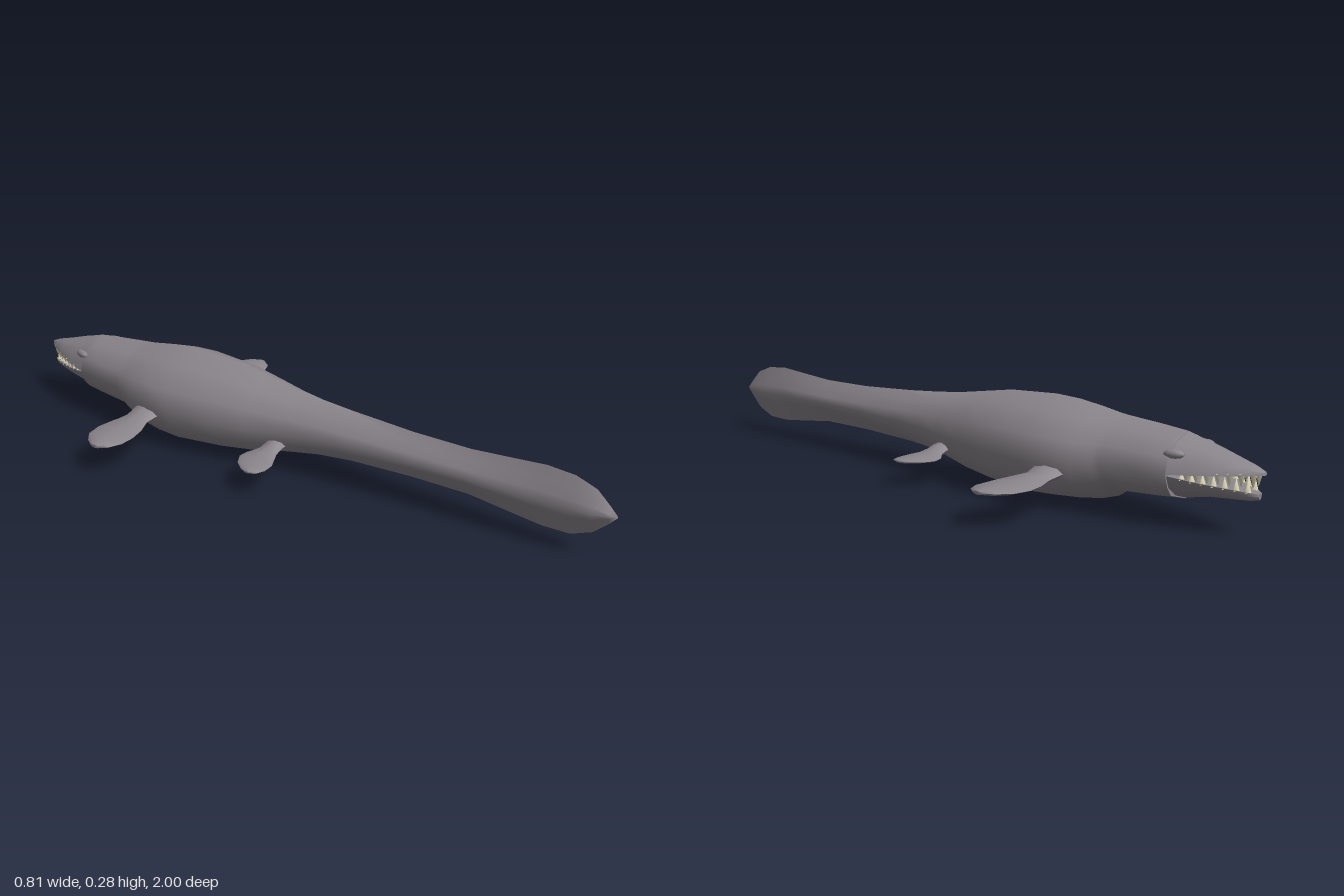
import * as THREE from 'three';
import { toCreasedNormals } from 'three/addons/utils/BufferGeometryUtils.js';

// Skin a list of closed rings (arrays of [x, y, z]) and cap both ends
function loft(rings, crease = 1.0) {
  const n = rings[0].length, pos = rings.flat(2), index = [];
  for (let r = 0; r < rings.length - 1; r++) {
    for (let i = 0; i < n; i++) {
      const j = (i + 1) % n, a = r * n + i, b = r * n + j;
      index.push(a, b, a + n, b, b + n, a + n);
    }
  }
  for (const end of [0, rings.length - 1]) {
    const c = pos.length / 3;
    pos.push(...[0, 1, 2].map((k) => rings[end].reduce((s, p) => s + p[k], 0) / n));
    for (let i = 0; i < n; i++) {
      const a = end * n + i, b = end * n + (i + 1) % n;
      if (end === 0) index.push(b, a, c); else index.push(a, b, c);
    }
  }
  // Turn the faces outward if the signed volume is negative
  let volume = 0;
  const v = (i) => new THREE.Vector3(...pos.slice(i * 3, i * 3 + 3));
  for (let t = 0; t < index.length; t += 3) {
    volume += v(index[t]).dot(v(index[t + 1]).cross(v(index[t + 2])));
  }
  if (volume < 0) index.reverse();
  const g = new THREE.BufferGeometry();
  g.setAttribute('position', new THREE.Float32BufferAttribute(pos, 3));
  g.setIndex(index);
  return toCreasedNormals(g, crease);
}

// Right-hand half outlines, top to bottom: full trunk and thin tail blade
const ROUND = [[0, 1], [0.48, 0.78], [0.9, 0.39], [1, -0.12], [0.88, -0.5], [0.7, -0.77], [0, -1]];
const BLADE = [[0, 1], [0.38, 0.64], [0.78, 0.28], [1, 0], [0.78, -0.28], [0.38, -0.64], [0, -1]];
const JAW = [[0, 1], [0.5, 0.8], [0.86, 0.45], [1, 0]];

// z, half width, bottom, top, blade amount
const BODY = [
  [-0.78, 0.1, 0.067, 0.243, 0], [-0.7, 0.111, 0.06, 0.251, 0], [-0.6, 0.125, 0.054, 0.259, 0],
  [-0.575, 0.132, 0.037, 0.262, 0], [-0.52, 0.153, 0.02, 0.272, 0], [-0.44, 0.166, 0.008, 0.283, 0],
  [-0.36, 0.167, 0.003, 0.287, 0], [-0.2, 0.145, 0.014, 0.279, 0], [-0.1, 0.12, 0.026, 0.263, 0],
  [0, 0.096, 0.045, 0.247, 0.1], [0.1, 0.08, 0.06, 0.237, 0.3], [0.2, 0.068, 0.07, 0.229, 0.5],
  [0.4, 0.051, 0.079, 0.218, 0.8], [0.58, 0.043, 0.08, 0.217, 1], [0.7, 0.038, 0.066, 0.226, 1],
  [0.8, 0.033, 0.055, 0.234, 1], [0.88, 0.03, 0.057, 0.228, 1], [0.94, 0.026, 0.082, 0.206, 1],
  [0.98, 0.012, 0.12, 0.168, 1], [1, 0.002, 0.142, 0.147, 1],
];

function bodyRing([z, w, lo, hi, k]) {
  const mid = (lo + hi) / 2, h = (hi - lo) / 2;
  const half = ROUND.map(([x, y], i) => [
    w * THREE.MathUtils.lerp(x, BLADE[i][0], k),
    mid + h * THREE.MathUtils.lerp(y, BLADE[i][1], k), z]);
  return [...half, ...half.slice(1, -1).reverse().map(([x, y, zz]) => [-x, y, zz])];
}

// z, half width, lip height, outer height
const UPPER = [[-0.77, 0.101, 0.146, 0.244], [-0.85, 0.081, 0.152, 0.222], [-0.92, 0.053, 0.158, 0.2],
  [-0.97, 0.027, 0.162, 0.186], [-1, 0.006, 0.164, 0.174]];
const LOWER = [[-0.77, 0.099, 0.144, 0.067], [-0.85, 0.077, 0.134, 0.084], [-0.92, 0.049, 0.126, 0.09],
  [-0.965, 0.026, 0.12, 0.094], [-0.988, 0.008, 0.116, 0.1]];

function jawRing([z, w, lip, outer]) {
  const half = JAW.map(([x, y]) => [w * x, lip + (outer - lip) * y, z]);
  return [...half, ...half.slice(1).reverse().map(([x, y, zz]) => [-x, y, zz])];
}

// Flipper stations: x, front z, rear z, height, half thickness
const FORE = [[0.1, -0.5, -0.4, 0.114, 0.024], [0.165, -0.5, -0.405, 0.108, 0.02],
  [0.2, -0.495, -0.41, 0.102, 0.014], [0.25, -0.51, -0.388, 0.099, 0.012], [0.3, -0.516, -0.376, 0.098, 0.011],
  [0.35, -0.505, -0.375, 0.098, 0.01], [0.385, -0.475, -0.39, 0.098, 0.009], [0.405, -0.445, -0.415, 0.098, 0.005]];
const HIND = [[0.05, -0.04, 0.02, 0.098, 0.018], [0.1, -0.04, 0.02, 0.094, 0.016],
  [0.125, -0.045, 0.022, 0.088, 0.012], [0.15, -0.065, 0.032, 0.083, 0.01], [0.18, -0.07, 0.046, 0.081, 0.008],
  [0.215, -0.05, 0.047, 0.08, 0.007], [0.24, -0.02, 0.037, 0.08, 0.006], [0.25, 0, 0.018, 0.08, 0.003]];

function flipperRing([x, z0, z1, y, t], side) {
  return Array.from({ length: 8 }, (_, i) => {
    const a = i * Math.PI / 4;
    return [side * x, y + t * Math.sin(a), (z0 + z1) / 2 + (z1 - z0) / 2 * Math.cos(a)];
  });
}

// Half width and lip height of a jaw at any z
function lipAt(jaw, z) {
  const i = Math.max(1, jaw.findIndex((s) => s[0] <= z));
  const a = jaw[i - 1], b = jaw[i], f = (z - a[0]) / (b[0] - a[0]);
  return [a[1] + (b[1] - a[1]) * f, a[2] + (b[2] - a[2]) * f];
}

export function createModel() {
  const model = new THREE.Group();
  model.name = 'marineReptile';
  const skin = new THREE.MeshStandardMaterial({ color: 0x8a858b });
  skin.name = 'grey skin';
  const ivory = new THREE.MeshStandardMaterial({ color: 0xddd6b8 });
  ivory.name = 'ivory teeth';
  const add = (name, geometry, material = skin, parent = model) => {
    const mesh = new THREE.Mesh(geometry, material);
    mesh.name = name;
    parent.add(mesh);
    return mesh;
  };

  // Trunk, tail and jaws
  add('bodyAndTail', loft(BODY.map(bodyRing), 1.3));
  add('upperJaw', loft(UPPER.map(jawRing)));
  add('lowerJaw', loft(LOWER.map(jawRing)));

  // Flippers and brow bumps, mirrored
  for (const [side, label] of [[1, 'left'], [-1, 'right']]) {
    add(label + 'ForeFlipper', loft(FORE.map((s) => flipperRing(s, side)), 1.2));
    add(label + 'HindFlipper', loft(HIND.map((s) => flipperRing(s, side)), 1.2));
    const brow = add(label + 'Brow', new THREE.SphereGeometry(1, 10, 8));
    brow.scale.set(0.012, 0.012, 0.028);
    brow.position.set(side * 0.079, 0.198, -0.79);
    brow.rotation.y = side * 0.25;
  }

  // Interlocking teeth along both lips
  const teeth = new THREE.Group();
  teeth.name = 'teeth';
  model.add(teeth);
  const tooth = new THREE.ConeGeometry(0.011, 1, 4);
  for (const [jaw, dir, offset, label] of [[UPPER, -1, 0, 'upper'], [LOWER, 1, 0.012, 'lower']]) {
    for (let i = 0; i < 7; i++) {
      const z = -0.825 - i * 0.025 + offset;
      const [w, lip] = lipAt(jaw, z);
      const height = 0.022 + i * 0.0025;
      for (const side of [1, -1]) {
        const mesh = add(label + 'Tooth', tooth, ivory, teeth);
        mesh.scale.y = height;
        mesh.position.set(side * Math.max(w - 0.01, 0.006), lip + dir * (height / 2 - 0.004), z);
        if (dir < 0) mesh.rotation.x = Math.PI;
      }
    }
  }
  return model;
}
